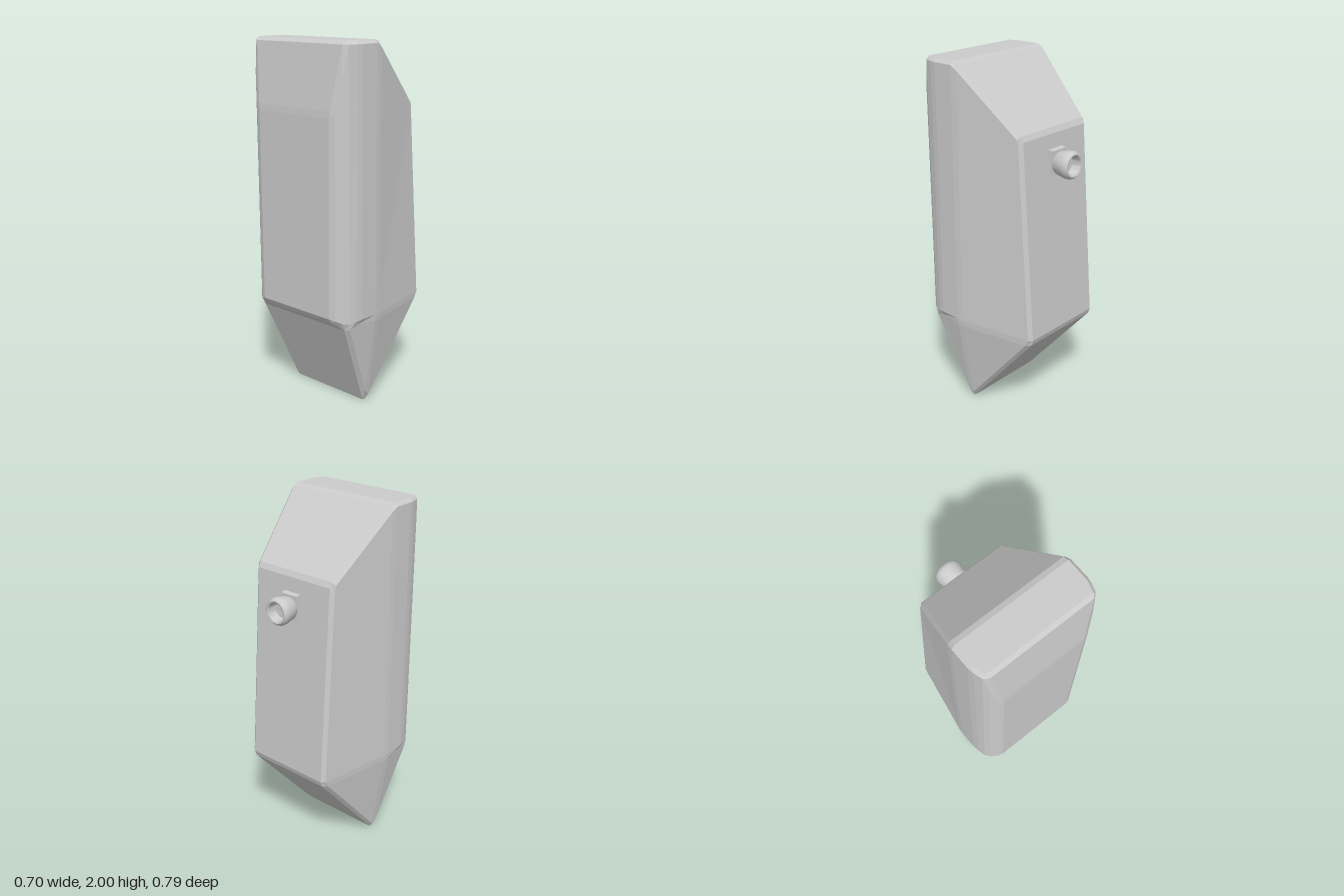
import * as THREE from 'three';
import { toCreasedNormals } from 'three/addons/utils/BufferGeometryUtils.js';

// Corners of the +x half; a name with '-' is the mirrored corner
const CORNERS = {
  frontLow: [0.265, 0.545, 0.395], frontMid: [0.27, 1.64, 0.395],
  cornerLow: [0.325, 0.515, 0.345], cornerTop: [0.325, 2, 0.35],
  sideLow: [0.35, 0.53, 0.27], sideTop: [0.35, 2, 0.27],
  rearLow: [0.35, 0.525, 0.12], rearTop: [0.35, 2, 0.12],
  backHigh: [0.265, 1.65, -0.26], backLow: [0.272, 0.52, -0.342],
  keel: [0.268, -0.013, 0.12],
};

// Faces that span both halves, given by their +x corners
const SPANS = [
  ['frontLow', 'frontMid'], ['frontMid', 'cornerTop'], ['cornerTop', 'sideTop', 'rearTop'],
  ['rearTop', 'backHigh'], ['backHigh', 'backLow'], ['backLow', 'keel'],
  ['keel', 'cornerLow'], ['cornerLow', 'frontLow'],
];

// Faces on the +x flank, mirrored for the other flank
const FLANK = [
  ['frontLow', 'cornerLow', 'cornerTop', 'frontMid'],
  ['cornerLow', 'sideLow', 'sideTop', 'cornerTop'],
  ['sideLow', 'rearLow', 'rearTop', 'sideTop'],
  ['rearLow', 'backHigh', 'rearTop'],
  ['rearLow', 'backLow', 'backHigh'],
  ['keel', 'backLow', 'rearLow'],
  ['keel', 'rearLow', 'sideLow', 'cornerLow'],
];

const mirrored = (names) => names.map((n) => n + '-').reverse();

function cornerPoint(name) {
  const [x, y, z] = CORNERS[name.replace('-', '')];
  return new THREE.Vector3(name.endsWith('-') ? -x : x, y, z);
}

// Insets every face, then joins the insets with edge bands and corner caps
function chamferedGeometry(faces, width) {
  const positions = [];
  const addPolygon = (pts) => {
    for (let i = 1; i < pts.length - 1; i++) {
      for (const p of [pts[0], pts[i], pts[i + 1]]) positions.push(p.x, p.y, p.z);
    }
  };

  const insets = faces.map((names) => {
    const pts = names.map(cornerPoint);
    const inset = {};
    names.forEach((name, i) => {
      const p = pts[i];
      const a = pts[(i + pts.length - 1) % pts.length].clone().sub(p).normalize();
      const b = pts[(i + 1) % pts.length].clone().sub(p).normalize();
      const sine = a.clone().cross(b).length();
      inset[name] = p.clone().addScaledVector(a.add(b), width / sine);
    });
    addPolygon(names.map((n) => inset[n]));
    return inset;
  });

  const edgeOwner = {};
  faces.forEach((names, f) => names.forEach((n, i) => {
    edgeOwner[n + '>' + names[(i + 1) % names.length]] = f;
  }));

  // Edge bands
  const around = {};
  for (const [edge, f] of Object.entries(edgeOwner)) {
    const [a, b] = edge.split('>');
    const g = edgeOwner[b + '>' + a];
    if (f < g) addPolygon([insets[f][b], insets[f][a], insets[g][a], insets[g][b]]);
    (around[a] ??= {})[g] = f;
  }

  // Corner caps
  for (const [name, next] of Object.entries(around)) {
    const start = Number(Object.keys(next)[0]);
    const ring = [];
    let f = start;
    do {
      ring.push(insets[f][name]);
      f = next[f];
    } while (f !== start);
    addPolygon(ring);
  }

  const geometry = new THREE.BufferGeometry();
  geometry.setAttribute('position', new THREE.Float32BufferAttribute(positions, 3));
  geometry.computeVertexNormals();
  return geometry;
}

export function createModel() {
  const model = new THREE.Group();
  model.name = 'facetedTank';
  const flat = new THREE.MeshStandardMaterial({ color: 0xcccccc, flatShading: true });
  const smooth = new THREE.MeshStandardMaterial({ color: 0xcccccc });

  // Faceted body with chamfered edges
  const faces = [
    ...SPANS.map((s) => [...s, ...mirrored(s)]),
    ...FLANK,
    ...FLANK.map(mirrored),
  ];
  const body = new THREE.Mesh(chamferedGeometry(faces, 0.018), flat);
  body.name = 'body';
  model.add(body);

  // Outlet on the back, built along its own y and turned to face backwards
  const outlet = new THREE.Group();
  outlet.name = 'outlet';
  outlet.position.set(0, 1.48, -0.26);
  outlet.rotation.x = -Math.PI / 2;
  model.add(outlet);

  // Rectangular mounting plate, slightly narrower outwards
  const plateGeometry = new THREE.CylinderGeometry(0.052 * Math.SQRT2, 0.057 * Math.SQRT2, 0.05, 4)
    .rotateY(Math.PI / 4).scale(1, 1, 1.35);
  const plate = new THREE.Mesh(plateGeometry, flat);
  plate.name = 'mountingPlate';
  plate.position.y = 0.012;
  outlet.add(plate);

  // Hollow flared nozzle
  const profile = [
    [0, 0.02], [0.058, 0.035], [0.064, 0.046], [0.075, 0.1], [0.075, 0.118],
    [0.07, 0.13], [0.061, 0.137], [0.053, 0.134], [0.046, 0.085], [0, 0.08],
  ].map(([r, y]) => new THREE.Vector2(r, y));
  const nozzle = new THREE.Mesh(
    toCreasedNormals(new THREE.LatheGeometry(profile, 32), 0.6), smooth);
  nozzle.name = 'nozzle';
  outlet.add(nozzle);

  return model;
}
